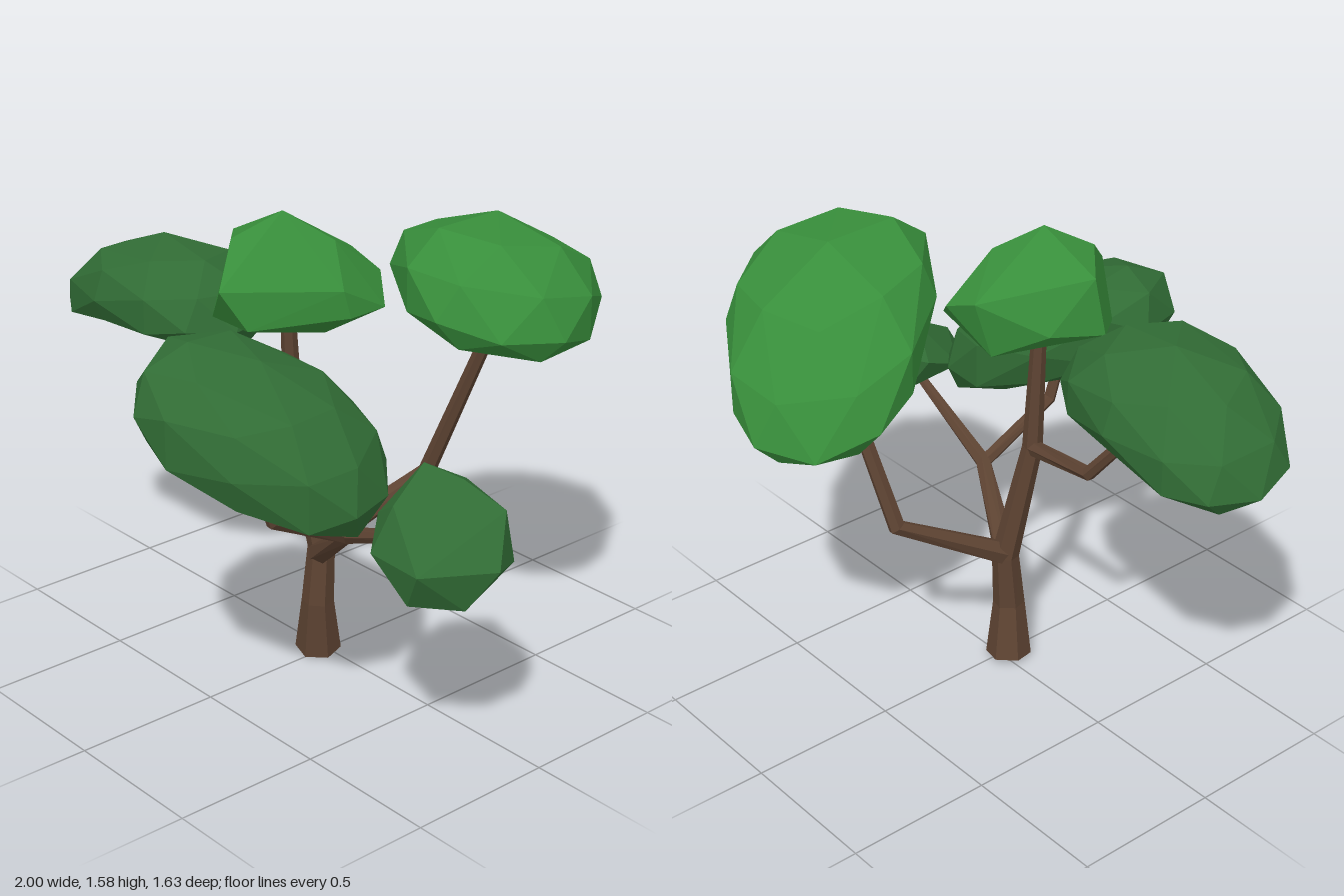
import * as THREE from 'three';
import { ConvexGeometry } from 'three/addons/geometries/ConvexGeometry.js';

const bark = new THREE.MeshStandardMaterial({ color: 0x5d4332 });
bark.name = 'bark brown';
const lightLeaf = new THREE.MeshStandardMaterial({ color: 0x388e3b });
lightLeaf.name = 'light leaf green';
const darkLeaf = new THREE.MeshStandardMaterial({ color: 0x316c35 });
darkLeaf.name = 'dark leaf green';

const vec = (p) => new THREE.Vector3(...p);

function addMesh(group, name, geometry, material) {
  const mesh = new THREE.Mesh(geometry, material);
  mesh.name = name;
  group.add(mesh);
}

// Six-sided tapering limb swept through [x, y, z, radius] stations
function limbGeometry(stations) {
  const sides = 6;
  const centers = stations.map((s) => vec(s.slice(0, 3)));
  const last = centers.length - 1;
  const rings = centers.map((c, k) => {
    const t = centers[Math.min(k + 1, last)].clone().sub(centers[Math.max(k - 1, 0)]).normalize();
    const u = new THREE.Vector3(1, 0, 1).cross(t).normalize();
    const v = t.clone().cross(u);
    return Array.from({ length: sides }, (_, i) => {
      const a = (i / sides) * Math.PI * 2;
      return c.clone()
        .addScaledVector(u, Math.cos(a) * stations[k][3])
        .addScaledVector(v, Math.sin(a) * stations[k][3]);
    });
  });
  const points = [];
  for (let i = 0; i < sides; i++) {
    const j = (i + 1) % sides;
    for (let k = 0; k < last; k++) {
      const a = rings[k], b = rings[k + 1];
      points.push(a[i], a[j], b[j], a[i], b[j], b[i]);
    }
    points.push(centers[0], rings[0][j], rings[0][i]);
    points.push(centers[last], rings[last][i], rings[last][j]);
  }
  const geometry = new THREE.BufferGeometry().setFromPoints(points);
  geometry.computeVertexNormals();
  return geometry;
}

// Faceted leaf pad: a flattened, blunt-rimmed ball, turned in plan, tilted and drooping at its ends
function padGeometry({ center, length, width, up, down, turn, tilt, droop }) {
  const geometry = new THREE.IcosahedronGeometry(1, 1);
  const pos = geometry.attributes.position;
  const c = Math.cos(turn), s = Math.sin(turn);
  const fuller = (n, power) => Math.sign(n) * Math.abs(n) ** power;
  for (let i = 0; i < pos.count; i++) {
    const u = fuller(pos.getX(i), 0.85), v = fuller(pos.getZ(i), 0.85), h = fuller(pos.getY(i), 0.75);
    pos.setXYZ(
      i,
      center[0] + u * length * c - v * width * s,
      center[1] + h * (h > 0 ? up : down) + tilt[0] * u + tilt[1] * v - droop[0] * u * u - droop[1] * v * v,
      center[2] + u * length * s + v * width * c
    );
  }
  geometry.computeVertexNormals();
  return geometry;
}

export function createModel() {
  const tree = new THREE.Group();
  tree.name = 'tree';

  // Trunk and branches
  const limbs = {
    trunk: [[-0.018, 0.008, 0.022, 0.077], [0.002, 0.2, 0.04, 0.054], [0.003, 0.4, 0.025, 0.046],
      [-0.055, 0.82, 0.09, 0.034], [-0.06, 1.25, 0.11, 0.024]],
    leftBranch: [[-0.04, 0.815, 0.09, 0.028], [-0.38, 0.89, 0.04, 0.024], [-0.59, 1.16, 0.1, 0.019]],
    backBranch: [[0, 0.4, 0.03, 0.042], [0.12, 0.6, -0.34, 0.03], [0.38, 1.25, -0.41, 0.022]],
    rightBranch: [[0, 0.37, 0.03, 0.042], [0.28, 0.58, 0.16, 0.028], [0.7, 0.745, 0.2, 0.017]],
    frontBranch: [[0.28, 0.575, 0.16, 0.024], [0.28, 0.72, 0.46, 0.022], [0.28, 0.92, 0.53, 0.017]]
  };
  for (const [name, stations] of Object.entries(limbs)) {
    addMesh(tree, name, limbGeometry(stations), bark);
  }

  // Large leaf pads
  addMesh(tree, 'leftFoliage', padGeometry({
    center: [-0.585, 1.235, 0.195], length: 0.415, width: 0.275, up: 0.14, down: 0.14,
    turn: 0.08, tilt: [0.055, 0.02], droop: [0.14, 0.06]
  }), darkLeaf);
  addMesh(tree, 'backFoliage', padGeometry({
    center: [0.36, 1.385, -0.395], length: 0.5, width: 0.335, up: 0.17, down: 0.17,
    turn: 0.75, tilt: [0.125, 0.05], droop: [0.21, 0.06]
  }), lightLeaf);
  addMesh(tree, 'frontFoliage', padGeometry({
    center: [0.24, 1.06, 0.465], length: 0.395, width: 0.295, up: 0.18, down: 0.2,
    turn: -0.58, tilt: [-0.14, -0.04], droop: [0.07, 0.05]
  }), darkLeaf);

  // Small chunky leaf clumps
  addMesh(tree, 'topFoliage', new ConvexGeometry([
    [-0.02, 1.58, 0.16], [-0.24, 1.47, 0.18], [-0.27, 1.28, 0.2], [-0.15, 1.24, 0.34],
    [0, 1.38, 0.43], [0.05, 1.25, 0.36], [0.2, 1.36, 0.1], [0.21, 1.27, 0.08],
    [0.2, 1.27, -0.07], [0.1, 1.35, -0.14], [-0.03, 1.4, -0.13], [-0.2, 1.3, 0.03],
    [0.05, 1.17, 0.05], [-0.05, 1.21, -0.08], [-0.1, 1.5, 0.3], [0.1, 1.49, 0.05]
  ].map(vec)), lightLeaf);
  addMesh(tree, 'rightFoliage', new ConvexGeometry([
    [0.64, 0.96, 0.17], [0.79, 0.95, 0.15], [0.92, 0.88, 0.1], [1, 0.74, 0.2],
    [0.93, 0.61, 0.27], [0.81, 0.62, 0.39], [0.87, 0.74, 0.41], [0.66, 0.74, 0.4],
    [0.68, 0.88, 0.33], [0.56, 0.85, 0.15], [0.68, 0.88, 0.03], [0.82, 0.74, 0.03],
    [0.62, 0.74, 0.1], [0.56, 0.8, 0.28], [0.92, 0.7, 0.06]
  ].map(vec)), darkLeaf);

  return tree;
}
